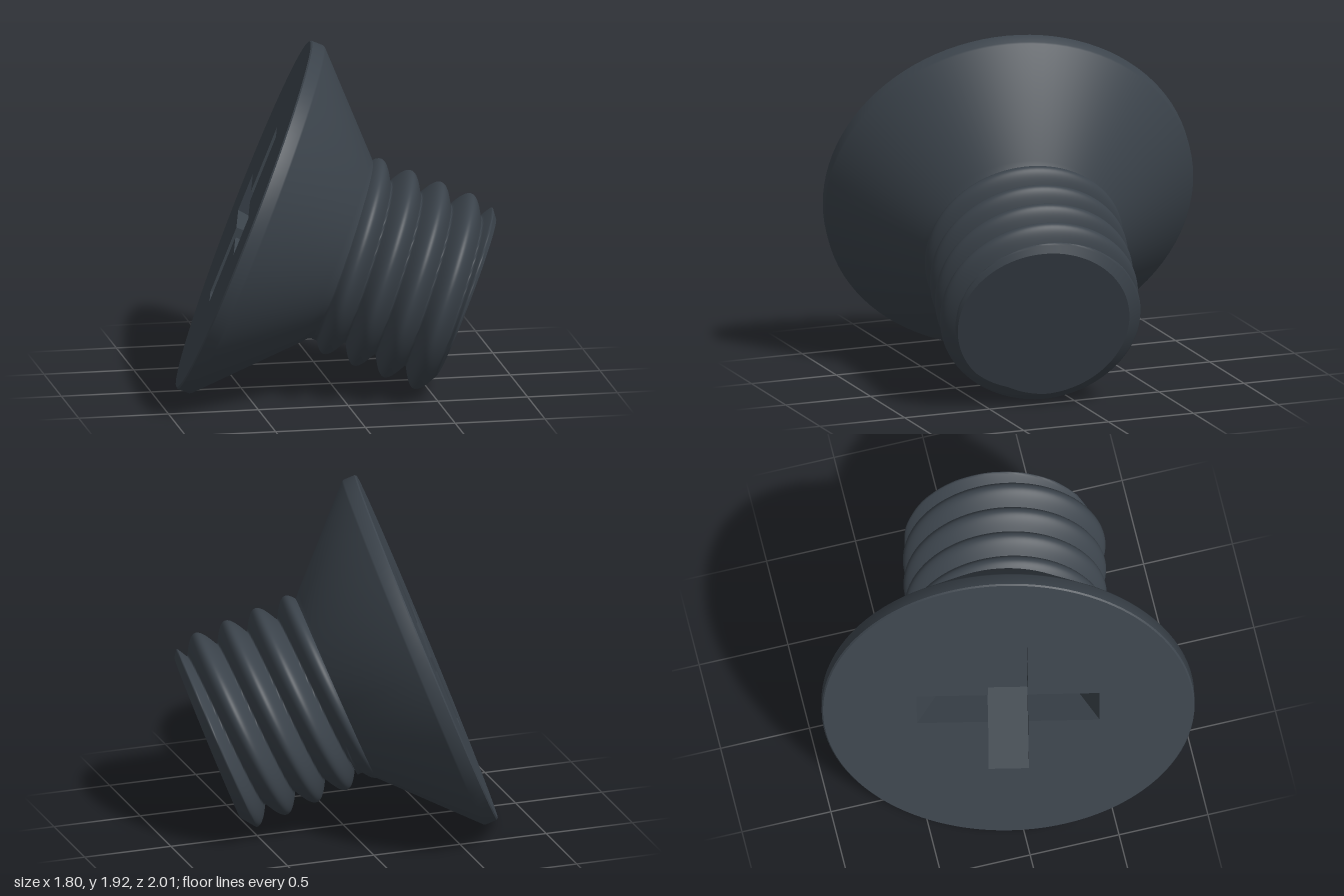
import * as THREE from 'three';
import { toCreasedNormals } from 'three/addons/utils/BufferGeometryUtils.js';

// Local frame: +z points out of the head face, depth t runs along -z towards the tip.
const HEAD_R = 1.02, LENGTH = 1.3, PITCH = 0.177;
const ROOT_R = 0.45, THREAD_H = 0.105, SLOT_W = 0.11;
const START = 0.5, ROWS = 150, COLS = 96;

// Radius of the threaded shank at depth t and clockwise angle phi from the top
function shankRadius(t, phi) {
  const turn = (t - 0.78) / PITCH - phi / (2 * Math.PI);
  let r = ROOT_R + THREAD_H * Math.abs(Math.cos(Math.PI * turn));
  if (t < 0.62) r = Math.max(r, 0.5);
  return Math.min(r, 0.475 + (LENGTH - t) * 1.3);
}

function shankPoint(t, j) {
  const phi = (j / COLS) * 2 * Math.PI, r = shankRadius(t, phi);
  return [r * Math.sin(phi), r * Math.cos(phi), -t];
}

function threadGeometry() {
  const pos = [], idx = [];
  for (let i = 0; i <= ROWS; i++) {
    const t = START + (LENGTH - START) * (i / ROWS);
    for (let j = 0; j < COLS; j++) {
      pos.push(...shankPoint(t, j));
      if (i === ROWS) continue;
      const a = i * COLS + j, b = i * COLS + ((j + 1) % COLS);
      idx.push(a, b, a + COLS, b, b + COLS, a + COLS);
    }
  }
  const g = new THREE.BufferGeometry();
  g.setAttribute('position', new THREE.Float32BufferAttribute(pos, 3));
  g.setIndex(idx);
  g.computeVertexNormals();
  return g;
}

// Counter-clockwise outline of a plus sign
function crossOutline(halfLength, w) {
  const pts = [];
  for (let k = 0; k < 4; k++) {
    const c = Math.round(Math.cos(k * Math.PI / 2)), s = Math.round(Math.sin(k * Math.PI / 2));
    for (const [x, y] of [[halfLength, -w], [halfLength, w], [w, w]]) {
      pts.push(new THREE.Vector2(x * c - y * s, x * s + y * c));
    }
  }
  return pts;
}

// Inward facing walls between the mouth and floor of the recess
function recessWalls(top, bottom, depth) {
  const pos = [];
  top.forEach((p, i) => {
    const k = (i + 1) % top.length, q = top[k], u = bottom[i], v = bottom[k];
    pos.push(p.x, p.y, 0, q.x, q.y, 0, u.x, u.y, -depth);
    pos.push(q.x, q.y, 0, v.x, v.y, -depth, u.x, u.y, -depth);
  });
  const g = new THREE.BufferGeometry();
  g.setAttribute('position', new THREE.Float32BufferAttribute(pos, 3));
  g.computeVertexNormals();
  return g;
}

export function createModel() {
  const model = new THREE.Group();
  model.name = 'countersunkScrew';
  const screw = new THREE.Group();
  screw.name = 'screw';
  model.add(screw);

  const steel = new THREE.MeshStandardMaterial({ color: 0x3b434b });
  steel.name = 'dark steel';
  steel.side = THREE.DoubleSide;
  const add = (name, geometry) => {
    const mesh = new THREE.Mesh(geometry, steel);
    mesh.name = name;
    screw.add(mesh);
  };

  // Conical head with a narrow rim
  const profile = [[0.49, -0.61], [0.51, -0.57], [0.55, -0.535], [HEAD_R - 0.005, -0.085],
    [HEAD_R, -0.075], [HEAD_R, -0.008], [HEAD_R - 0.008, 0]].map(p => new THREE.Vector2(...p));
  const cone = new THREE.LatheGeometry(profile, 96);
  cone.rotateX(Math.PI / 2);
  add('headCone', toCreasedNormals(cone, 0.5));

  // Flat face with a cross shaped opening
  const mouth = crossOutline(0.5, SLOT_W);
  const face = new THREE.Shape().absarc(0, 0, HEAD_R - 0.008, 0, Math.PI * 2);
  face.holes.push(new THREE.Path(mouth.slice().reverse()));
  add('headFace', new THREE.ShapeGeometry(face, 96));

  // Drive recess with sloping arm ends
  const depth = 0.4, floorOutline = crossOutline(0.28, SLOT_W);
  add('recessWalls', recessWalls(mouth, floorOutline, depth));
  const floor = new THREE.ShapeGeometry(new THREE.Shape(floorOutline));
  floor.translate(0, 0, -depth);
  add('recessFloor', floor);

  // Threaded shank and its flat tip
  add('thread', threadGeometry());
  const ring = [];
  for (let j = 0; j < COLS; j++) {
    const [x, y] = shankPoint(LENGTH, j);
    ring.push(new THREE.Vector2(-x, y));
  }
  const tip = new THREE.ShapeGeometry(new THREE.Shape(ring));
  tip.rotateY(Math.PI);
  tip.translate(0, 0, -LENGTH);
  add('tip', tip);

  // Lean the screw so that it rests on its rim and tip
  const out = new THREE.Vector3(-0.91, 0.364, -0.2).normalize();
  const up = new THREE.Vector3(0, 1, 0).addScaledVector(out, -out.y).normalize();
  const side = new THREE.Vector3().crossVectors(up, out);
  screw.quaternion.setFromRotationMatrix(new THREE.Matrix4().makeBasis(side, up, out));
  screw.position.set(-0.487, 0.96, 0);
  return model;
}
